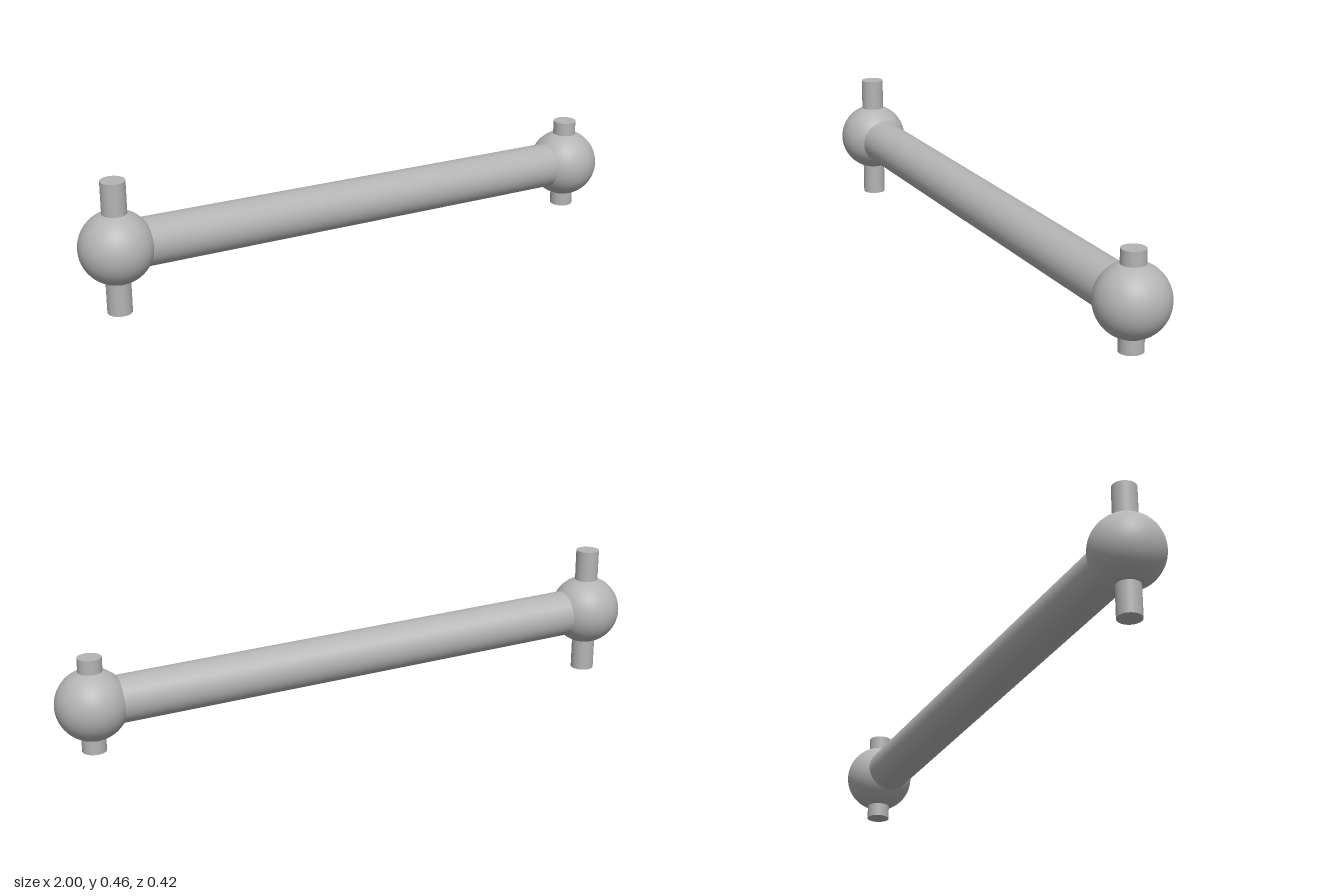
import * as THREE from 'three';

export function createModel() {
  const model = new THREE.Group();
  model.name = 'linkRod';
  const grey = new THREE.MeshStandardMaterial({ color: 0xb4b4b4 });
  grey.name = 'plain grey';

  function add(parent, name, geometry) {
    const mesh = new THREE.Mesh(geometry, grey);
    mesh.name = name;
    parent.add(mesh);
    return mesh;
  }

  // Ball joint with an upright pin through its centre
  function ballJoint(name, centre, pinLength) {
    const joint = new THREE.Group();
    joint.name = name;
    joint.position.copy(centre);
    add(joint, 'ball', new THREE.SphereGeometry(0.117, 64, 40));
    add(joint, 'pin', new THREE.CylinderGeometry(0.039, 0.039, pinLength, 48));
    model.add(joint);
  }

  const rightEnd = new THREE.Vector3(-0.883, 0.2435, 0.091);
  const leftEnd = new THREE.Vector3(0.883, 0.157, -0.091);
  ballJoint('rightJoint', rightEnd, 0.431);
  ballJoint('leftJoint', leftEnd, 0.314);

  // Rod running between the ball centres
  const span = leftEnd.clone().sub(rightEnd);
  const rod = add(model, 'rod', new THREE.CylinderGeometry(0.077, 0.077, span.length(), 64));
  rod.position.copy(rightEnd).add(leftEnd).multiplyScalar(0.5);
  rod.quaternion.setFromUnitVectors(new THREE.Vector3(0, 1, 0), span.normalize());

  return model;
}
